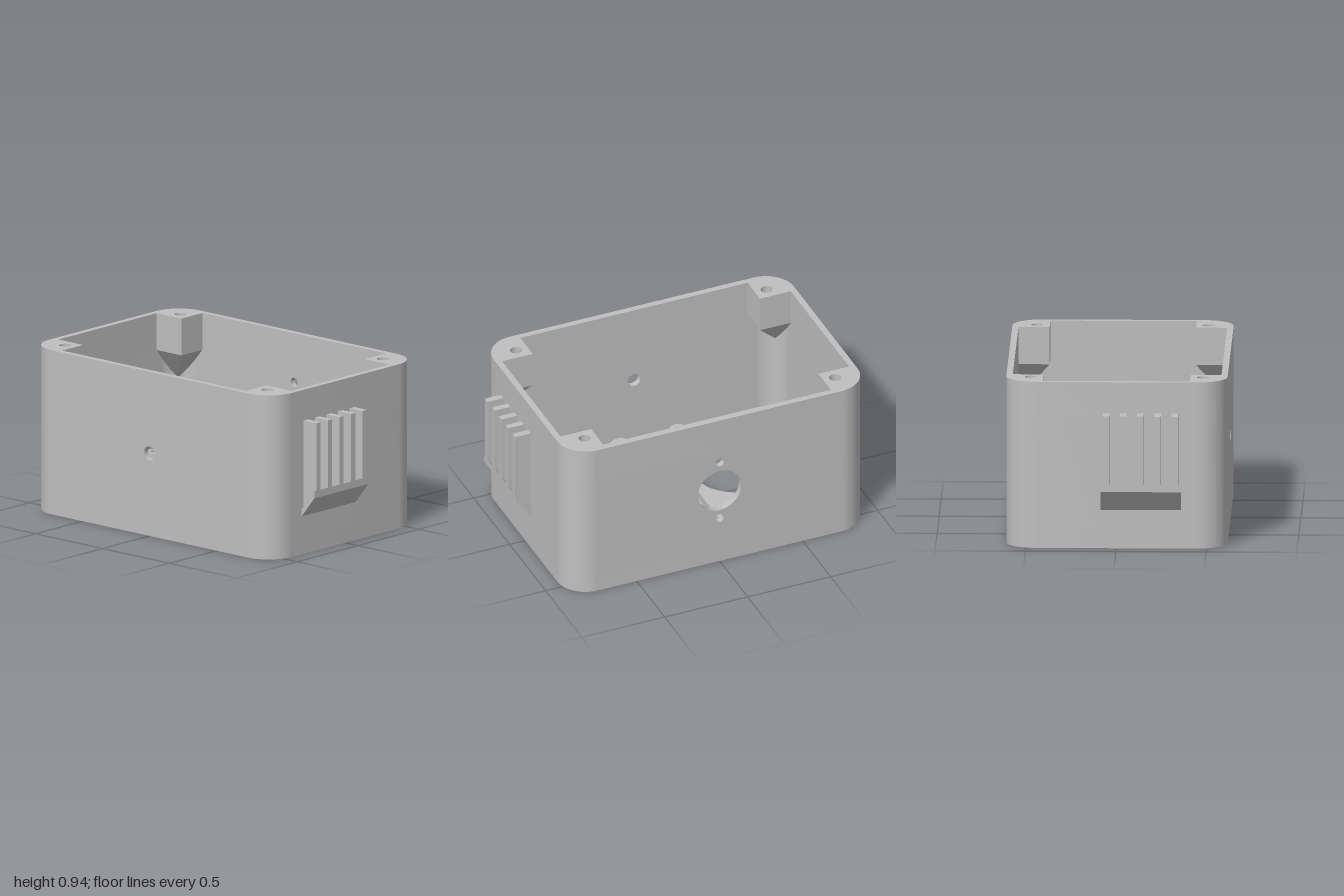
import * as THREE from 'three';
import { toCreasedNormals } from 'three/addons/utils/BufferGeometryUtils.js';
import { ConvexGeometry } from 'three/addons/geometries/ConvexGeometry.js';

const W = 0.905, D = 0.612, H = 0.935, R = 0.17, T = 0.035; // half width, half depth, height, corner, wall
const CX = W - R, CZ = D - R;                               // corner arc centre
const FLOOR = 0.09, POST_Y = 0.725;                         // floor top, underside of the straight posts
const HOLE_X = 0.415, HOLE_Z = 0.1;

const grey = new THREE.MeshStandardMaterial({ color: 0xbfbfbf });
grey.name = 'grey plastic';

export function createModel() {
  const group = new THREE.Group();

  const add = (name, geometry) => {
    const mesh = new THREE.Mesh(geometry, grey);
    mesh.name = name;
    group.add(mesh);
    return mesh;
  };
  const extrude = (shape, depth) => toCreasedNormals(
    new THREE.ExtrudeGeometry(shape, { depth, bevelEnabled: false, curveSegments: 32 }), 0.5);
  // Plan shape in (x, z), extruded between two heights
  const slab = (shape, y0, y1) => extrude(shape, y1 - y0).rotateX(Math.PI / 2).translate(0, y1, 0);
  const circle = (x, y, r) => new THREE.Path().absarc(x, y, r, 0, Math.PI * 2, false);
  const polygon = (points) => new THREE.Shape(points.map(([x, y]) => new THREE.Vector2(x, y)));

  const outline = (...holes) => {
    const s = new THREE.Shape();
    s.absarc(CX, -CZ, R, -Math.PI / 2, 0, false);
    s.absarc(CX, CZ, R, 0, Math.PI / 2, false);
    s.absarc(-CX, CZ, R, Math.PI / 2, Math.PI, false);
    s.absarc(-CX, -CZ, R, Math.PI, Math.PI * 1.5, false);
    s.closePath();
    s.holes.push(...holes);
    return s;
  };
  const roundHoles = (r) => [-1, 1].map((s) => circle(s * HOLE_X, HOLE_Z, r));

  // Floor: counterbores below, thin web with the openings, shallow pockets above
  const channel = polygon([[-0.11, -D + T], [0.11, -D + T], [0.11, 0.07], [-0.11, 0.07]]);
  const pocket = new THREE.Path();
  const a = Math.asin(0.13 / 0.275);
  pocket.moveTo(-0.11, -D + T);
  pocket.lineTo(0.11, -D + T);
  pocket.lineTo(0.11, -0.03);
  pocket.absarc(HOLE_X, HOLE_Z, 0.275, a - Math.PI, Math.PI - a, false);
  pocket.lineTo(0.105, 0.23);
  pocket.lineTo(0.105, 0.07);
  pocket.lineTo(-0.105, 0.07);
  pocket.lineTo(-0.105, 0.23);
  pocket.absarc(-HOLE_X, HOLE_Z, 0.275, a, Math.PI * 2 - a, false);
  pocket.lineTo(-0.11, -0.03);
  pocket.closePath();
  add('floorCounterbore', slab(outline(...roundHoles(0.34)), 0, 0.03));
  add('floorWeb', slab(outline(...roundHoles(0.24)), 0.03, 0.045));
  add('floorWebWithChannel', slab(outline(...roundHoles(0.24), channel), 0.045, 0.06));
  add('floorPocket', slab(outline(pocket), 0.06, FLOOR));

  // Side walls with their rounded corners
  for (const s of [1, -1]) {
    const c = new THREE.Shape();
    c.absarc(CX, -CZ, R, -Math.PI / 2, 0, false);
    c.absarc(CX, CZ, R, 0, Math.PI / 2, false);
    c.absarc(CX, CZ, R - T, Math.PI / 2, 0, true);
    c.absarc(CX, -CZ, R - T, 0, -Math.PI / 2, true);
    c.closePath();
    const geo = slab(c, FLOOR, POST_Y);
    if (s < 0) geo.rotateY(Math.PI);
    add(s > 0 ? 'leftWall' : 'rightWall', geo);
  }

  // Front and back walls with round openings
  const panel = (...holes) => {
    const p = polygon([[-CX, FLOOR], [CX, FLOOR], [CX, POST_Y], [-CX, POST_Y]]);
    p.holes.push(...holes);
    return extrude(p, T);
  };
  add('frontWall', panel(circle(0, 0.47, 0.04))).position.z = D - T;
  add('backWall', panel(circle(0, 0.47, 0.13), circle(0, 0.655, 0.026),
    circle(0, 0.285, 0.026))).position.z = -D;

  // Upper rim, including the corner posts and their screw holes
  const px = 0.685, pz = 0.405, ix = W - T, iz = D - T;
  const opening = polygon([[-px, -iz], [px, -iz], [px, -pz], [ix, -pz], [ix, pz], [px, pz],
    [px, iz], [-px, iz], [-px, pz], [-ix, pz], [-ix, -pz], [-px, -pz]]);
  const screwHoles = [];
  for (const sx of [-1, 1]) for (const sz of [-1, 1]) {
    screwHoles.push(circle(sx * 0.755, sz * 0.475, 0.033));
    // Tapered support under each post, running into the corner
    const plan = [[px, pz], [0.88, pz], [0.88, 0.45], [0.845, 0.55], [0.745, 0.595], [px, 0.595]];
    const points = plan.map(([x, z]) => new THREE.Vector3(sx * x, POST_Y, sz * z));
    points.push(new THREE.Vector3(sx * 0.845, 0.535, sz * 0.55));
    add('postSupport', new ConvexGeometry(points));
  }
  add('rimWithPosts', slab(outline(opening, ...screwHoles), POST_Y, H));

  // Hollow screw bosses on the floor
  for (const s of [-1, 1]) for (const [x, z] of [[0.175, 0.355], [0.655, -0.16]]) {
    const ring = new THREE.Shape();
    ring.absarc(s * x, z, 0.056, 0, Math.PI * 2, false);
    ring.holes.push(circle(s * x, z, 0.03));
    add('screwBoss', slab(ring, FLOOR, 0.23));
  }

  // Side scoops: a slanted lip carrying five upright fins
  for (const s of [-1, 1]) {
    const side = (pts) => polygon(pts.map(([x, y]) => [s * x, y]));
    const x0 = W - 0.005;
    add('scoopLip', extrude(side([[x0, 0.21], [1, 0.335], [1, 0.375], [x0, 0.25]]), 0.445))
      .position.z = -0.086;
    const fin = side([[x0, 0.23], [1, 0.36], [1, 0.76], [x0, 0.76]]);
    for (let i = 0; i < 5; i++) {
      add('scoopFin', extrude(fin, 0.036)).position.z = -0.073 + i * 0.095;
    }
  }

  return group;
}
